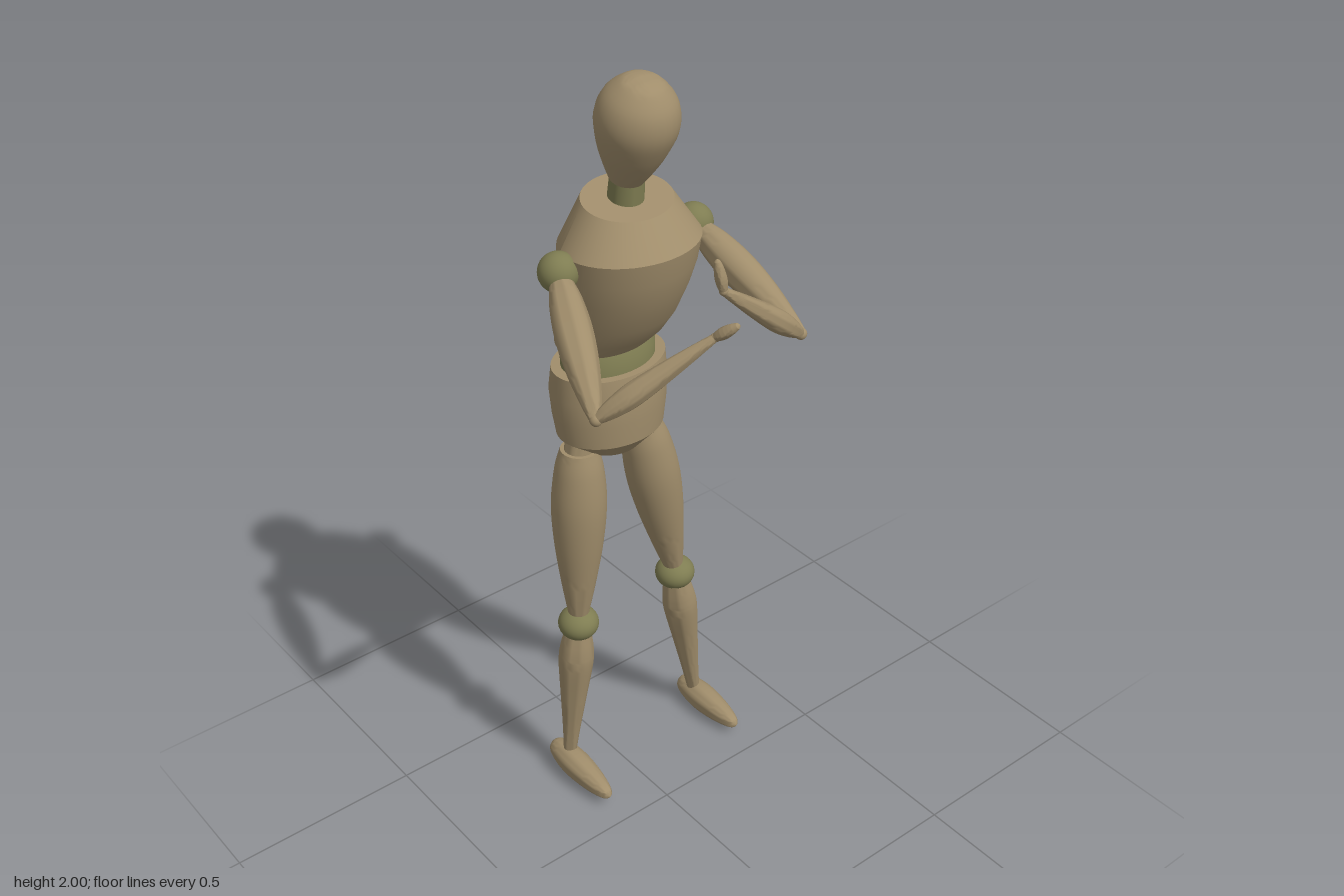
import * as THREE from 'three';
import { toCreasedNormals } from 'three/addons/utils/BufferGeometryUtils.js';

const wood = new THREE.MeshStandardMaterial({ color: 0xa08d6b });
const joint = new THREE.MeshStandardMaterial({ color: 0x7f7d52 });
const V = (p) => new THREE.Vector3(...p);

export function createModel() {
  const model = new THREE.Group();

  function add(parent, name, geometry, material = wood) {
    const mesh = new THREE.Mesh(geometry, material);
    mesh.name = name;
    parent.add(mesh);
    return mesh;
  }

  // Turned piece from point a to point b; profile holds [radius, fraction of length]
  function turned(parent, name, a, b, profile, material) {
    const start = V(a), dir = V(b).sub(start), length = dir.length();
    const curve = new THREE.SplineCurve(profile.map(([r, t]) => new THREE.Vector2(r, t * length)));
    const points = curve.getPoints(32).map((p) => new THREE.Vector2(Math.max(p.x, 0), p.y));
    points.unshift(new THREE.Vector2(0, points[0].y));
    points.push(new THREE.Vector2(0, points[points.length - 1].y));
    const mesh = add(parent, name, toCreasedNormals(new THREE.LatheGeometry(points, 28), 0.8), material);
    mesh.position.copy(start);
    mesh.quaternion.setFromUnitVectors(new THREE.Vector3(0, 1, 0), dir.normalize());
    return mesh;
  }

  function ball(parent, name, at, r, material = joint, squash = 1) {
    const mesh = add(parent, name, new THREE.SphereGeometry(r, 28, 18), material);
    mesh.position.set(...at);
    mesh.scale.y = squash;
    return mesh;
  }

  // Closed body through tilted oval rings: [yFront, zFront, yBack, zBack, halfWidth], bottom to top
  function loft(name, rings, material) {
    const n = 48, cx = -0.01, pos = [], index = [];
    for (const [yF, zF, yB, zB, rx] of rings) {
      for (let i = 0; i < n; i++) {
        const a = (i / n) * Math.PI * 2, k = (1 + Math.cos(a)) / 2;
        pos.push(cx + rx * Math.sin(a), yB + (yF - yB) * k, zB + (zF - zB) * k);
      }
    }
    const last = (rings.length - 1) * n, bottom = rings.length * n, top = bottom + 1;
    for (const [yF, zF, yB, zB] of [rings[0], rings[rings.length - 1]]) {
      pos.push(cx, (yF + yB) / 2, (zF + zB) / 2);
    }
    for (let i = 0; i < n; i++) {
      const j = (i + 1) % n;
      for (let r = 0; r < last; r += n) {
        index.push(r + i, r + j, r + n + j, r + i, r + n + j, r + n + i);
      }
      index.push(bottom, j, i, top, last + i, last + j);
    }
    const g = new THREE.BufferGeometry();
    g.setAttribute('position', new THREE.Float32BufferAttribute(pos, 3));
    g.setIndex(index);
    add(model, name, toCreasedNormals(g, 0.5), material);
  }

  // Head and neck
  turned(model, 'head', [-0.013, 1.755, -0.122], [-0.015, 1.997, -0.055],
    [[0.04, 0], [0.057, 0.14], [0.079, 0.36], [0.092, 0.6], [0.081, 0.8], [0.05, 0.945], [0.025, 0.99], [0, 1.005]]);
  turned(model, 'neck', [-0.012, 1.68, -0.13], [-0.013, 1.77, -0.118], [[0.042, 0], [0.04, 0.5], [0.038, 1]], joint);

  // Torso
  loft('chest', [
    [1.32, -0.125, 1.345, -0.3, 0.132],
    [1.365, -0.08, 1.38, -0.3, 0.138],
    [1.42, -0.04, 1.43, -0.297, 0.145],
    [1.5, -0.002, 1.5, -0.287, 0.156],
    [1.56, 0.018, 1.56, -0.274, 0.164],
    [1.617, 0.028, 1.61, -0.262, 0.168],
    [1.69, -0.035, 1.725, -0.212, 0.11],
  ]);
  loft('waist', [
    [1.25, -0.118, 1.27, -0.292, 0.122],
    [1.3, -0.118, 1.32, -0.296, 0.122],
    [1.335, -0.135, 1.355, -0.285, 0.112],
  ], joint);
  loft('pelvis', [
    [1.04, -0.135, 1.045, -0.28, 0.08],
    [1.09, -0.094, 1.09, -0.312, 0.138],
    [1.15, -0.09, 1.15, -0.319, 0.147],
    [1.21, -0.09, 1.21, -0.323, 0.151],
    [1.27, -0.1, 1.275, -0.308, 0.148],
  ]);

  // Arms
  const upperArm = [[0.028, 0.1], [0.037, 0.22], [0.042, 0.42], [0.037, 0.65], [0.024, 0.87], [0.013, 1]];
  const foreArm = [[0.011, 0], [0.021, 0.14], [0.026, 0.32], [0.021, 0.6], [0.013, 0.88], [0.009, 1]];
  const hand = [[0.009, 0], [0.013, 0.3], [0.012, 0.6], [0.007, 0.9], [0, 1]];
  const arms = [
    { side: 'left', shoulder: [0.18, 1.585, -0.128], elbow: [0.21, 1.435, 0.205], wrist: [-0.012, 1.615, 0.2], tip: [-0.024, 1.69, 0.19] },
    { side: 'right', shoulder: [-0.196, 1.585, -0.128], elbow: [-0.325, 1.41, 0.168], wrist: [-0.1, 1.572, 0.277], tip: [-0.073, 1.612, 0.322] },
  ];
  for (const { side, shoulder, elbow, wrist, tip } of arms) {
    const arm = new THREE.Group();
    arm.name = side + 'Arm';
    model.add(arm);
    ball(arm, 'shoulder', shoulder, 0.046);
    turned(arm, 'upperArm', shoulder, elbow, upperArm);
    ball(arm, 'elbow', elbow, 0.014, wood);
    turned(arm, 'forearm', elbow, wrist, foreArm);
    ball(arm, 'wrist', wrist, 0.01, wood);
    turned(arm, 'hand', wrist, tip, hand);
  }

  // Legs
  const thigh = [[0.046, 0], [0.06, 0.12], [0.068, 0.32], [0.061, 0.55], [0.044, 0.8], [0.027, 1]];
  const shin = [[0.034, 0], [0.043, 0.12], [0.045, 0.24], [0.035, 0.5], [0.024, 0.78], [0.017, 1]];
  const foot = [[0, 0], [0.018, 0.025], [0.029, 0.11], [0.037, 0.3], [0.037, 0.5], [0.029, 0.75], [0.016, 0.94], [0, 1]];
  const legs = [
    { side: 'left', hip: [0.083, 1.055, -0.2], knee: [0.2, 0.53, -0.214], ankle: [0.29, 0.06, -0.24], heel: [0.296, 0.042, -0.302], toe: [0.296, 0.036, -0.06] },
    { side: 'right', hip: [-0.105, 1.055, -0.2], knee: [-0.122, 0.53, -0.205], ankle: [-0.138, 0.07, -0.243], heel: [-0.143, 0.052, -0.31], toe: [-0.143, 0.038, -0.06] },
  ];
  for (const { side, hip, knee, ankle, heel, toe } of legs) {
    const leg = new THREE.Group();
    leg.name = side + 'Leg';
    model.add(leg);
    const socket = [hip[0] * 0.92, hip[1] + 0.04, hip[2]];
    turned(leg, 'hip', hip, socket, [[0.036, -0.3], [0.036, 0.5], [0.036, 1]]);
    const thighEnd = V(hip).lerp(V(knee), 0.93).toArray();
    turned(leg, 'thigh', hip, thighEnd, thigh);
    ball(leg, 'knee', knee, 0.052, joint, 0.84);
    const shinTop = V(knee).lerp(V(ankle), 0.07).toArray();
    turned(leg, 'shin', shinTop, ankle, shin);
    turned(leg, 'foot', heel, toe, foot);
  }

  return model;
}
